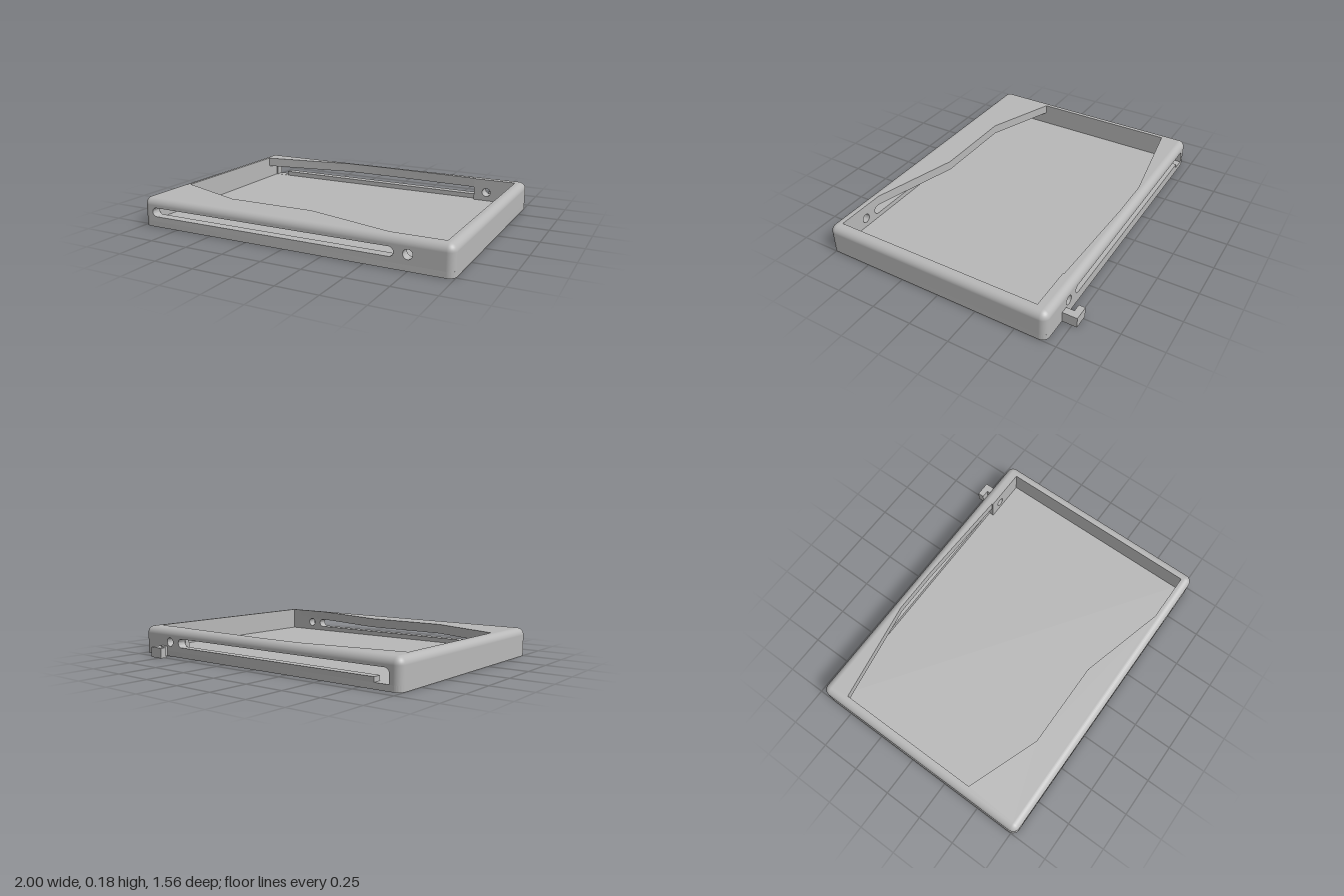
import * as THREE from 'three';
import { toCreasedNormals } from 'three/addons/utils/BufferGeometryUtils.js';

const R = 0.045;                       // outer edge radius
const X = 1, ZF = 0.78, ZB = -0.69;    // outer faces
const H = 0.18, FLOOR = 0.035, LIP = 0.12, RIM = H - R;
const CX = X - R, CF = ZF - R, CB = ZB + R; // centres of the corner radii
const CORNERS = [[CX, CF], [-CX, CF], [-CX, CB], [CX, CB]];

const polygon = (pts, Type = THREE.Shape) => new Type(pts.map(p => new THREE.Vector2(...p)));
const rect = (x0, y0, x1, y1) => polygon([[x0, y0], [x1, y0], [x1, y1], [x0, y1]]);

// Rounded slot; a notch at its -x end can drop to a lower level
function slot(notchY) {
  const x0 = -0.93, x1 = 0.67, y0 = 0.065, y1 = LIP, r = (y1 - y0) / 2, m = y0 + r;
  const p = new THREE.Path();
  p.moveTo(x1 - r, y0);
  p.absarc(x1 - r, m, r, -Math.PI / 2, Math.PI / 2, false);
  p.lineTo(x0 + r, y1);
  if (notchY) {
    p.absarc(x0 + r, m, r, Math.PI / 2, Math.PI, false);
    p.lineTo(x0, notchY);
    p.lineTo(x0 + 0.09, notchY);
    p.lineTo(x0 + 0.09, y0);
  } else p.absarc(x0 + r, m, r, Math.PI / 2, Math.PI * 1.5, false);
  p.closePath();
  return p;
}
const roundHole = () => new THREE.Path().absarc(0.75, 0.0925, 0.028, 0, Math.PI * 2, false);

function extrude(shape, depth) {
  const g = new THREE.ExtrudeGeometry(shape, { depth, bevelEnabled: false, curveSegments: 16 });
  return toCreasedNormals(g, 0.6);
}
// Upright plate from z0 to z1
const upright = (shape, holes, z0, z1) => {
  shape.holes.push(...holes);
  return extrude(shape, z1 - z0).translate(0, 0, z0);
};
// Flat plate drawn in x and z, from y0 to y1
const flat = (shape, y0, y1) => extrude(shape, y1 - y0).rotateX(Math.PI / 2).translate(0, y1, 0);

// Rounded top edge running all the way round
function rimGeometry() {
  const pos = [], nor = [], idx = [], steps = 8, cols = 4 * (steps + 1) + 1;
  for (let j = 0; j <= steps; j++) {
    const phi = j / steps * Math.PI / 2;
    for (let i = 0; i < cols; i++) {
      const k = Math.floor(i / (steps + 1)) % 4;
      const t = (k + (i % (steps + 1)) / steps) * Math.PI / 2;
      const n = [Math.cos(phi) * Math.cos(t), Math.sin(phi), Math.cos(phi) * Math.sin(t)];
      pos.push(CORNERS[k][0] + R * n[0], RIM + R * n[1], CORNERS[k][1] + R * n[2]);
      nor.push(...n);
      if (j < steps && i < cols - 1) {
        const a = j * cols + i, c = a + cols;
        idx.push(a, c, a + 1, a + 1, c, c + 1);
      }
    }
  }
  const g = new THREE.BufferGeometry();
  g.setAttribute('position', new THREE.Float32BufferAttribute(pos, 3));
  g.setAttribute('normal', new THREE.Float32BufferAttribute(nor, 3));
  g.setIndex(idx);
  return g;
}

export function createModel() {
  const group = new THREE.Group();
  const grey = new THREE.MeshStandardMaterial({ color: 0xb8b8b8 });
  grey.name = 'grey';
  const add = (name, geometry) => {
    const mesh = new THREE.Mesh(geometry, grey);
    mesh.name = name;
    group.add(mesh);
  };

  // Floor with rounded corners
  const base = new THREE.Shape();
  CORNERS.forEach(([x, z], k) => base.absarc(x, z, R, k * Math.PI / 2, (k + 1) * Math.PI / 2, false));
  base.closePath();
  add('floor', flat(base, 0, FLOOR));

  // Slotted front and back walls
  const wall = () => rect(-CX, FLOOR, CX, RIM);
  add('frontWall', upright(wall(), [slot(), roundHole()], 0.72, ZF));
  add('backWall', upright(wall(), [slot(FLOOR + 0.001), roundHole()], ZB, -0.635));
  add('backWallBlock', upright(rect(0.665, FLOOR, 0.945, LIP + 0.01), [roundHole()], -0.635, -0.605));

  // Side walls
  for (const s of [-1, 1]) {
    const g = new THREE.BoxGeometry(0.06, RIM - FLOOR, CF - CB);
    add(s > 0 ? 'leftWall' : 'rightWall', g.translate(s * 0.97, (RIM + FLOOR) / 2, (CF + CB) / 2));
  }

  // Rounded corner posts
  [[CX, CF], [CX, CB], [-CX, CB], [-CX, CF]].forEach(([x, z], k) => {
    const g = new THREE.CylinderGeometry(R, R, RIM - FLOOR, 8, 1, true, k * Math.PI / 2, Math.PI / 2);
    add('cornerPost', g.translate(x, (RIM + FLOOR) / 2, z));
  });

  // Rounded rim and the top lip with its irregular opening
  add('rim', rimGeometry());
  const lip = rect(-CX, CB, CX, CF);
  lip.holes.push(polygon([
    [-0.94, -0.53], [-0.29, -0.635], [0, -0.635], [0.665, -0.612], [0.665, -0.605], [0.94, -0.605],
    [0.94, 0.72], [0.62, 0.72], [0.07, 0.57], [-0.485, 0.57], [-0.94, 0.4],
  ], THREE.Path));
  add('topLip', flat(lip, LIP, H));

  // L-shaped hook on the back
  add('hook', flat(polygon([
    [0.78, -0.68], [0.78, -0.74], [0.73, -0.74], [0.73, -0.78], [0.825, -0.78], [0.825, -0.68],
  ]), 0, 0.065));

  return group;
}
